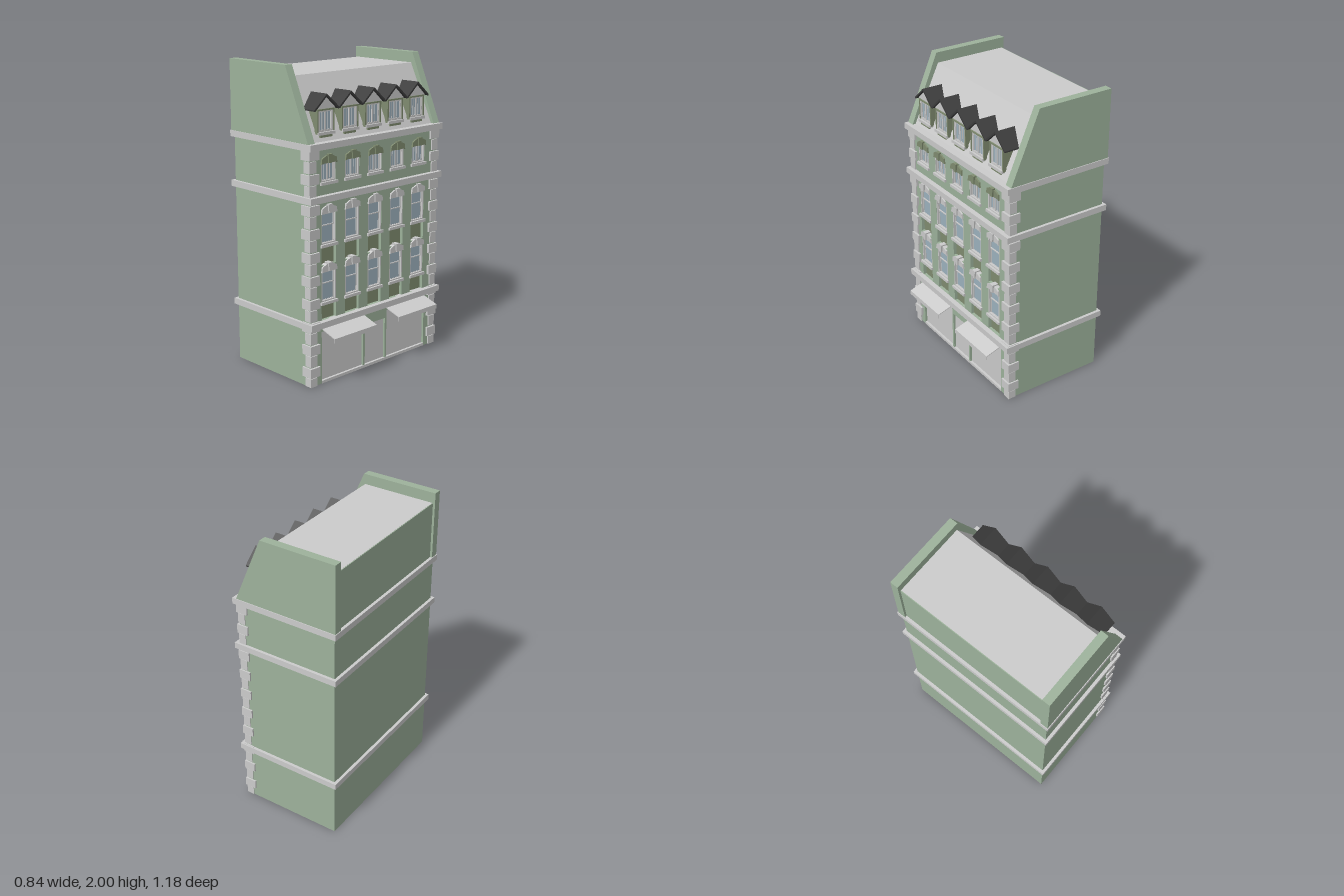
import * as THREE from 'three';

const mat = (color) => new THREE.MeshStandardMaterial({ color, flatShading: true, side: THREE.DoubleSide });
const grey = mat(0xcccccc), green = mat(0x9db29b), olive = mat(0x808c70);
const glass = mat(0x9db2be), slate = mat(0x3c3c3c);

function add(parent, name, geo, material) {
  const m = new THREE.Mesh(geo, material);
  m.name = name;
  parent.add(m);
  return m;
}

// Box given by its limits on each axis
function box(parent, name, material, x0, x1, y0, y1, z0, z1) {
  const m = add(parent, name, new THREE.BoxGeometry(x1 - x0, y1 - y0, z1 - z0), material);
  m.position.set((x0 + x1) / 2, (y0 + y1) / 2, (z0 + z1) / 2);
  return m;
}

const poly = (pts) => new THREE.Shape(pts.map(([x, y]) => new THREE.Vector2(x, y)));
const rect = (x0, x1, y0, y1) => poly([[x0, y0], [x1, y0], [x1, y1], [x0, y1]]);

// Flat outline pushed out between two depths
function slab(parent, name, material, shape, z0, z1) {
  const geo = new THREE.ExtrudeGeometry(shape, { depth: z1 - z0, bevelEnabled: false });
  return add(parent, name, geo.translate(0, 0, z0), material);
}

// Rectangular frame with an opening
function frame(parent, name, material, w, y0, y1, t, z0, z1) {
  const s = rect(-w / 2, w / 2, y0, y1);
  s.holes.push(rect(-w / 2 + t, w / 2 - t, y0 + t, y1 - t));
  return slab(parent, name, material, s, z0, z1);
}

// Window: glazing, outer frame, bars and sill
function makeWindow(y0, y1, back, front, sash) {
  const g = new THREE.Group();
  g.name = 'window';
  box(g, 'glass', glass, -0.055, 0.055, y0, y1, back, back + 0.004);
  frame(g, 'windowFrame', grey, 0.122, y0, y1, 0.008, back, front);
  if (sash) {
    const mid = y0 + (y1 - y0) * 0.6;
    frame(g, 'lowerSash', grey, 0.104, y0 + 0.004, mid, 0.006, back, back + 0.007);
    frame(g, 'upperSash', grey, 0.108, mid - 0.004, y1 - 0.004, 0.006, back, back + 0.012);
  } else {
    frame(g, 'casement', grey, 0.104, y0 + 0.005, y1 - 0.005, 0.007, back, back + 0.009);
    box(g, 'mullion', grey, -0.006, 0.006, y0, y1, back, back + 0.01);
    for (const x of [-0.024, 0.024])
      box(g, 'glazingBar', grey, x - 0.0015, x + 0.0015, y0, y1, back, back + 0.007);
  }
  box(g, 'sill', grey, -0.07, 0.07, y0 - 0.018, y0, back, front + 0.014);
  return g;
}

// Shallow pointed lintel with a keystone
function makeLintel(y, material) {
  const g = new THREE.Group();
  g.name = 'lintel';
  slab(g, 'lintelArch', material, poly([[-0.065, y - 0.005], [-0.05, y], [0.05, y], [0.065, y - 0.005],
    [0.06, y + 0.03], [0.025, y + 0.046], [-0.025, y + 0.046], [-0.06, y + 0.03]]), 0.28, 0.316);
  slab(g, 'keystone', material, poly([[-0.012, y], [0.012, y], [0.017, y + 0.055], [-0.017, y + 0.055]]), 0.28, 0.325);
  return g;
}

// Roof dormer with a small pitched roof
function makeDormer() {
  const g = new THREE.Group();
  g.name = 'dormer';
  box(g, 'dormerWall', olive, -0.066, 0.066, 1.585, 1.74, 0.1, 0.27);
  frame(g, 'dormerFrame', olive, 0.142, 1.59, 1.74, 0.01, 0.262, 0.286);
  g.add(makeWindow(1.602, 1.733, 0.27, 0.282, false));
  box(g, 'sillBracket', olive, -0.05, 0.05, 1.568, 1.584, 0.24, 0.288);
  slab(g, 'dormerGable', grey, poly([[-0.088, 1.737], [0.088, 1.737], [0, 1.818]]), 0.12, 0.278);
  slab(g, 'dormerRoof', slate, poly([[-0.1035, 1.733], [-0.094, 1.733], [0, 1.816], [0.094, 1.733],
    [0.1035, 1.733], [0.1035, 1.741], [0, 1.831], [-0.1035, 1.741]]), 0.12, 0.296);
  return g;
}

export function createModel() {
  const model = new THREE.Group();
  model.name = 'building';

  // Main body, bands and roof
  box(model, 'body', green, -0.4, 0.28, 0, 1.53, -0.57, 0.57);
  for (const y of [0.38, 1.18, 1.505])
    box(model, 'band', grey, -0.42, 0.34, y, y + 0.04, -0.59, 0.59);
  slab(model, 'mansardRoof', grey, poly([[-0.395, 1.53], [0.298, 1.53], [0.105, 1.93], [-0.395, 1.93]]), -0.54, 0.54);
  box(model, 'rearUpperWall', green, -0.4, -0.38, 1.53, 1.929, -0.54, 0.54);
  for (const z of [-0.585, 0.53])
    slab(model, 'gableWall', green, poly([[-0.415, 1.54], [0.315, 1.54], [0.115, 2], [-0.415, 2]]), z, z + 0.055);

  // Corner stones, alternating large and small
  const rows = [];
  for (let k = 0; k < 16; k++) rows.push([0.02 + 0.0744 * k, k % 2]);
  for (let k = 0; k < 4; k++) rows.push([1.253 + 0.0744 * k, k % 2]);
  for (const side of [-1, 1]) {
    for (const [y, large] of rows) {
      const h = large ? 0.031 : 0.036;
      const z0 = side * (large ? 0.5 : 0.52), z1 = side * (large ? 0.581 : 0.575);
      box(model, 'cornerStone', grey, large ? 0.24 : 0.262, large ? 0.321 : 0.314,
        Math.max(0, y - h), y + h, Math.min(z0, z1), Math.max(z0, z1));
    }
  }

  // Street side, built facing +z and turned to face +x
  const facade = new THREE.Group();
  facade.name = 'facade';
  facade.rotation.y = Math.PI / 2;
  model.add(facade);

  const columns = [-2, -1, 0, 1, 2].map((i) => -0.01 + i * 0.2015);
  const bays = [[0.42, 0.745], [0.775, 1.115], [1.29, 1.43]];
  const shop = [[-0.475, -0.108, 0.345], [-0.093, 0.093, 0.295], [0.108, 0.475, 0.345]];

  // Front wall pierced by window bays and shop openings
  const wall = rect(-0.57, 0.57, 0, 1.53);
  for (const c of columns)
    for (const [y0, y1] of bays) wall.holes.push(rect(c - 0.061, c + 0.061, y0, y1));
  for (const [x0, x1, top] of shop) wall.holes.push(rect(x0, x1, 0.015, top));
  slab(facade, 'frontWall', green, wall, 0.28, 0.305);

  // Windows, lintels, recessed panels and dormers
  for (const c of columns) {
    const bay = new THREE.Group();
    bay.name = 'windowBay';
    bay.position.x = c;
    facade.add(bay);
    for (const [y0, y1] of bays)
      box(bay, 'recessedPanel', olive, -0.061, 0.061, y0, y1, 0.279, 0.283);
    bay.add(makeWindow(0.538, 0.735, 0.284, 0.304, true), makeLintel(0.735, grey));
    bay.add(makeWindow(0.908, 1.105, 0.284, 0.304, true), makeLintel(1.105, grey));
    bay.add(makeWindow(1.3, 1.42, 0.284, 0.304, false), makeLintel(1.415, olive));
    bay.add(makeDormer());
  }

  // Shop front
  for (const [x0, x1, top] of shop)
    box(facade, 'shopPanel', grey, x0, x1, 0, top, 0.279, 0.29);
  box(facade, 'shopBase', grey, -0.475, 0.475, 0, 0.018, 0.28, 0.307);

  // Awnings: sloping sheet with a hanging front edge
  for (const x of [-0.47, 0.107]) {
    const sheet = poly([[0.3, 0.36], [0.3, 0.366], [0.42, 0.327], [0.42, 0.298], [0.416, 0.298], [0.416, 0.323]]);
    const geo = new THREE.ExtrudeGeometry(sheet, { depth: 0.37, bevelEnabled: false });
    const awning = add(facade, 'awning', geo, grey);
    awning.rotation.y = -Math.PI / 2;
    awning.position.x = x + 0.37;
  }
  return model;
}
